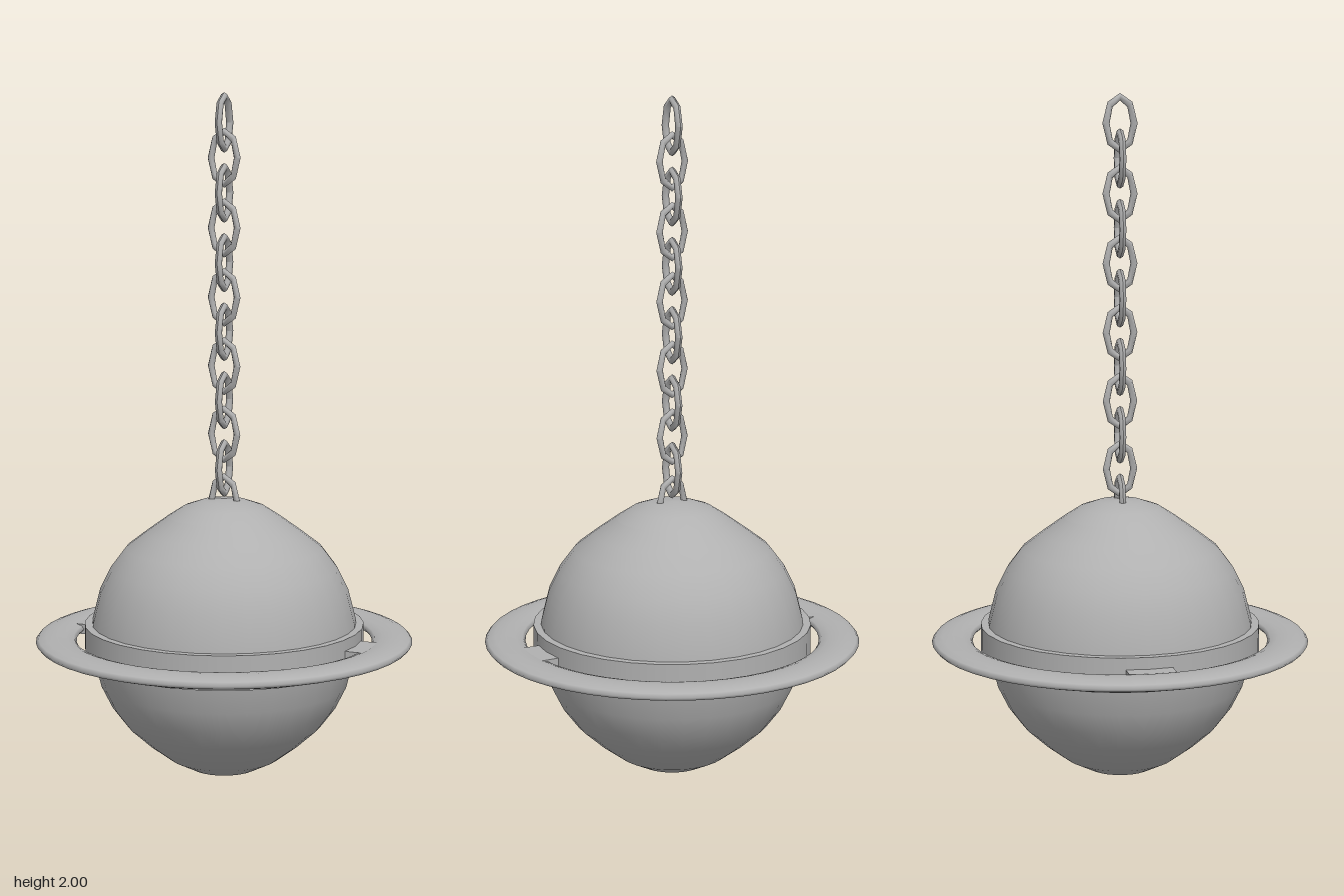
import * as THREE from 'three';

export function createModel() {
  const model = new THREE.Group();
  const steel = new THREE.MeshStandardMaterial({ color: 0xb0b0b0 });
  steel.name = 'steel';

  const add = (name, geometry, y = 0, parent = model) => {
    const mesh = new THREE.Mesh(geometry, steel);
    mesh.name = name;
    mesh.position.y = y;
    parent.add(mesh);
    return mesh;
  };
  const lathe = (points) =>
    new THREE.LatheGeometry(points.map(([r, y]) => new THREE.Vector2(r, y)), 32);

  // Globe in two shells, with a separate shallow crown under the chain
  add('lowerShell', lathe([
    [0, 0.003], [0.1, 0.009], [0.165, 0.042], [0.23, 0.091], [0.29, 0.145],
    [0.335, 0.205], [0.367, 0.27], [0.39, 0.36], [0.393, 0.4],
  ]));
  add('upperShell', lathe([
    [0.393, 0.4], [0.39, 0.46], [0.367, 0.55], [0.335, 0.615],
    [0.29, 0.675], [0.23, 0.721], [0.165, 0.768],
  ]));
  add('crown', lathe([[0.165, 0.768], [0.12, 0.797], [0.065, 0.816], [0, 0.82]]));

  // Raised band around the equator
  add('equatorBand', new THREE.CylinderGeometry(0.413, 0.413, 0.1, 32), 0.4);

  // Flattened outer ring
  const ring = new THREE.TorusGeometry(0.497, 0.06, 12, 48);
  ring.rotateX(Math.PI / 2);
  ring.scale(1, 0.32, 1);
  add('outerRing', ring, 0.401);

  // Tabs joining the ring to the band on both sides
  for (const side of [-1, 1]) {
    const tab = add(side > 0 ? 'leftTab' : 'rightTab', new THREE.BoxGeometry(0.08, 0.03, 0.135), 0.401);
    tab.position.x = side * 0.435;
  }

  // One octagonal chain link, stretched upward without thickening its ends
  const link = new THREE.TorusGeometry(0.041, 0.0105, 6, 8);
  const p = link.attributes.position;
  for (let i = 0; i < p.count; i++) {
    const x = p.getX(i), y = p.getY(i);
    p.setY(i, y + 0.034 * y / Math.hypot(x, y));
  }
  link.computeVertexNormals();

  // Chain of links turned alternately by a quarter
  const chain = new THREE.Group();
  chain.name = 'chain';
  model.add(chain);
  for (let i = 0; i < 12; i++) {
    const mesh = add('chainLink', link, 1.9145 - i * 0.1003, chain);
    mesh.rotation.y = i % 2 === 0 ? Math.PI / 2 : 0;
  }
  return model;
}
